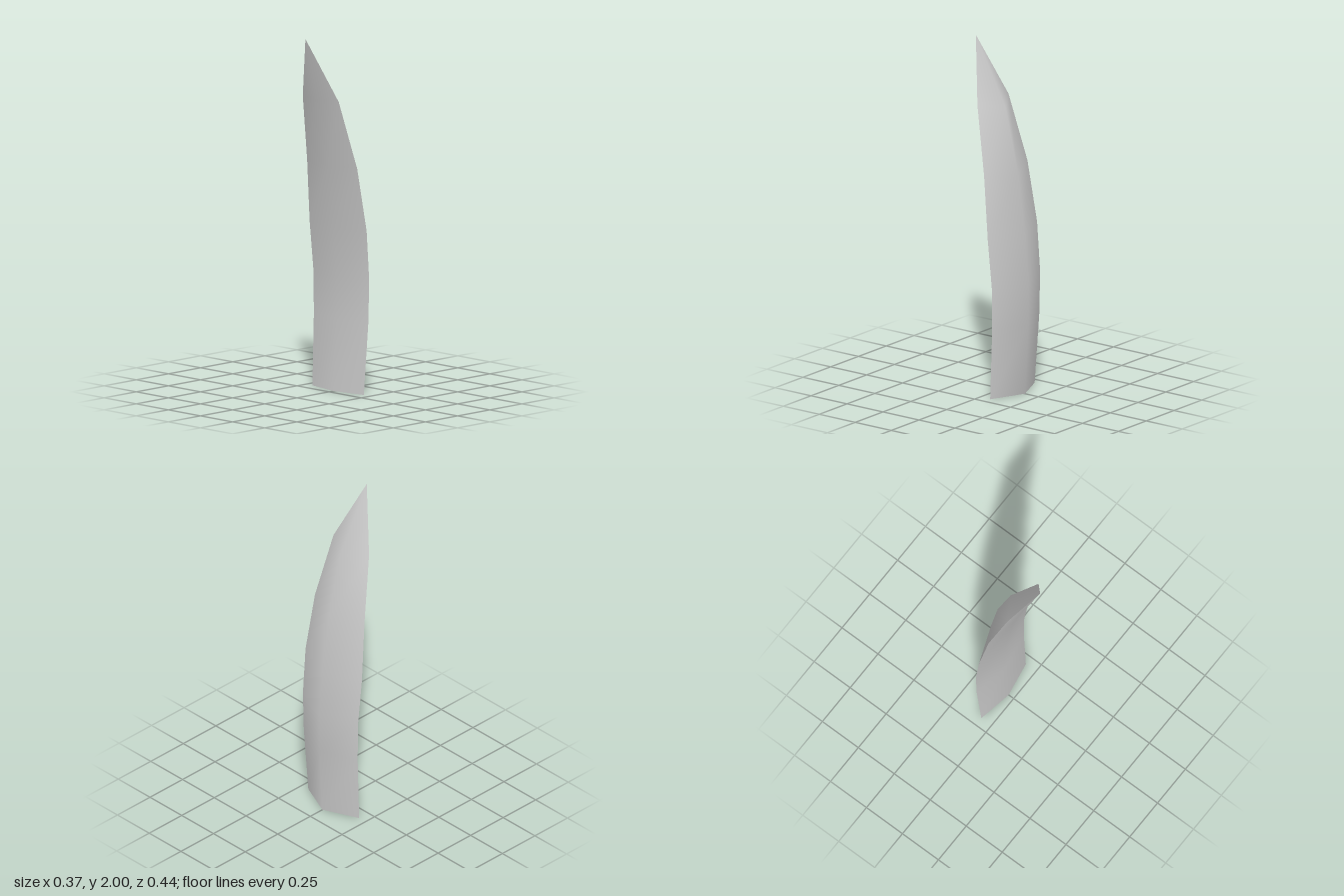
import * as THREE from 'three';
import { toCreasedNormals } from 'three/addons/utils/BufferGeometryUtils.js';

// Stations along the curved blade: height and x of the side edges, half width, rise of the outer ridge
const STATIONS = [
  { y: 0.0, x: 0.07, w: 0.2, ridgeY: 0.0 },
  { y: 0.4, x: 0.093, w: 0.212, ridgeY: 0.4 },
  { y: 0.64, x: 0.095, w: 0.217, ridgeY: 0.63 },
  { y: 0.92, x: 0.07, w: 0.222, ridgeY: 0.91 },
  { y: 1.27, x: 0.024, w: 0.195, ridgeY: 1.25 },
  { y: 1.65, x: -0.065, w: 0.14, ridgeY: 1.62 },
];
const TIP = [-0.184, 2, 0];
const RIDGE = 0.087; // outer ridge stands out towards +x
const SPINE = 0.035; // shallow inner spine towards -x

function bladeGeometry() {
  const positions = [];
  const index = [];
  // Four-cornered cross-sections: outer ridge, front edge, inner spine, back edge
  for (const { y, x, w, ridgeY } of STATIONS) {
    positions.push(x + RIDGE, ridgeY, 0, x, y, w, x - SPINE, y, 0, x, y, -w);
  }
  positions.push(...TIP);
  const tip = STATIONS.length * 4;

  // Side walls between neighbouring sections, then the point
  for (let s = 0; s < STATIONS.length; s++) {
    for (let c = 0; c < 4; c++) {
      const a = s * 4 + c;
      const b = s * 4 + ((c + 1) % 4);
      if (s === STATIONS.length - 1) index.push(a, tip, b);
      else index.push(a, a + 4, b, b, a + 4, b + 4);
    }
  }
  // Flat base
  index.push(0, 1, 2, 0, 2, 3);

  const geometry = new THREE.BufferGeometry();
  geometry.setAttribute('position', new THREE.Float32BufferAttribute(positions, 3));
  geometry.setIndex(index);
  return toCreasedNormals(geometry, 1.0);
}

export function createModel() {
  const group = new THREE.Group();
  group.name = 'curvedSpike';
  const blade = new THREE.Mesh(
    bladeGeometry(),
    new THREE.MeshStandardMaterial({ color: 0xcccccc })
  );
  blade.name = 'blade';
  group.add(blade);
  return group;
}
